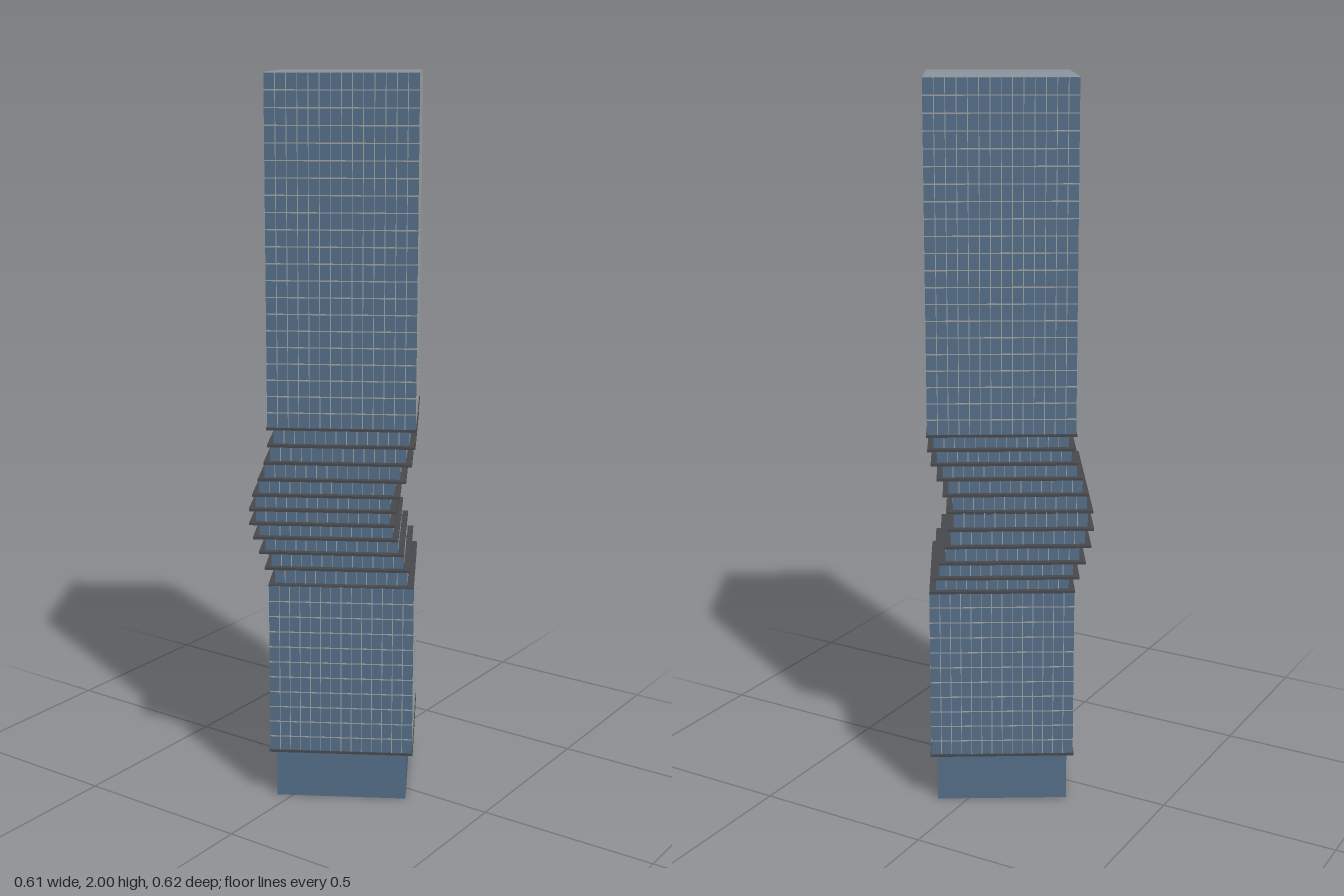
import * as THREE from 'three';

const glass = new THREE.MeshStandardMaterial({ name: 'blue glass', color: 0x546c86 });
const lobbyGlass = new THREE.MeshStandardMaterial({ name: 'lobby glass', color: 0x546c86, side: THREE.DoubleSide });
const slabMat = new THREE.MeshStandardMaterial({ name: 'charcoal slab', color: 0x46484b });
const roofMat = new THREE.MeshStandardMaterial({ name: 'roof grey', color: 0x8a939b });
const frameMat = new THREE.MeshStandardMaterial({ name: 'mullion grey', color: 0x9a9f9e });

const W = 0.396, D = 0.423;      // full floor plate
const w = 0.363, d = 0.39;       // recessed floors
const BASE = 0.143, H = (2 - BASE) / 42; // lobby height, storey height
const SLAB = 0.007, PROUD = 0.0012, BAY = 0.0283;

function box(parent, name, sx, sy, sz, x, y, z, mat) {
  const m = new THREE.Mesh(new THREE.BoxGeometry(sx, sy, sz), mat);
  m.position.set(x, y, z);
  m.name = name;
  parent.add(m);
  return m;
}

// Vertical mullions: each bar runs through the block and shows on two opposite faces
function mullions(parent, sx, sz, y0, h) {
  const nx = Math.round(sx / BAY), nz = Math.round(sz / BAY);
  for (let i = 1; i < nx; i++)
    box(parent, 'mullion', 0.002, h, sz + PROUD, -sx / 2 + (sx * i) / nx, y0 + h / 2, 0, frameMat);
  for (let i = 1; i < nz; i++)
    box(parent, 'mullion', sx + PROUD, h, 0.002, 0, y0 + h / 2, -sz / 2 + (sz * i) / nz, frameMat);
}

// A straight run of storeys with a slab below and a line at each floor
function block(name, x, z, y0, floors) {
  const g = new THREE.Group();
  g.name = name;
  g.position.set(x, 0, z);
  g.rotation.y = 0.537;
  const h = floors * H;
  box(g, 'curtainWall', W, h, D, 0, y0 + h / 2, 0, glass);
  box(g, 'bottomSlab', W + 0.005, SLAB, D + 0.005, 0, y0, 0, slabMat);
  for (let i = 1; i < floors; i++)
    box(g, 'floorLine', W + PROUD, 0.003, D + PROUD, 0, y0 + i * H, 0, frameMat);
  mullions(g, W, D, y0, h);
  return g;
}

export function createModel() {
  const tower = new THREE.Group();
  tower.name = 'tower';
  const cx = 0.018, cz = -0.018;

  // Lobby: four walls, open underneath
  const lobby = new THREE.Group();
  lobby.name = 'lobby';
  lobby.position.set(cx, 0, cz);
  lobby.rotation.y = 0.537;
  for (let i = 0; i < 4; i++) {
    const [len, off] = i % 2 ? [d, w / 2] : [w, d / 2];
    const wall = new THREE.Mesh(new THREE.PlaneGeometry(len, BASE), lobbyGlass);
    wall.name = 'lobbyWall';
    wall.rotation.y = (i * Math.PI) / 2;
    wall.position.set(Math.sin(wall.rotation.y) * off, BASE / 2, Math.cos(wall.rotation.y) * off);
    lobby.add(wall);
  }
  tower.add(lobby);

  // Lower and upper shafts
  const mid = BASE + 11 * H, top = mid + 10 * H;
  tower.add(block('lowerShaft', cx, cz, BASE, 11));
  const upper = block('upperShaft', cx, cz, top, 21);
  box(upper, 'roof', W, 0.003, D, 0, 1.9995, 0, roofMat).position.y = 1.9987;
  upper.getObjectByName('curtainWall').scale.y = 0.999;
  tower.add(upper);
  box(tower.getObjectByName('lowerShaft'), 'lowerRoof', W, 0.002, D, 0, mid, 0, slabMat);

  // Shifted storeys: offsets travel once around a small circle
  for (let k = 0; k < 10; k++) {
    const a = THREE.MathUtils.degToRad(-55 - 36 * k);
    const g = new THREE.Group();
    g.name = 'shiftedStorey';
    g.position.set(0.0265 * Math.cos(a), mid + k * H, 0.002 + 0.0265 * Math.sin(a));
    g.rotation.y = 0.537;
    box(g, 'storeyWall', w, H, d, 0, H / 2, 0, glass);
    box(g, 'storeySlab', W, SLAB, D, 0, 0, 0, slabMat);
    mullions(g, w, d, 0, H);
    tower.add(g);
  }
  return tower;
}
